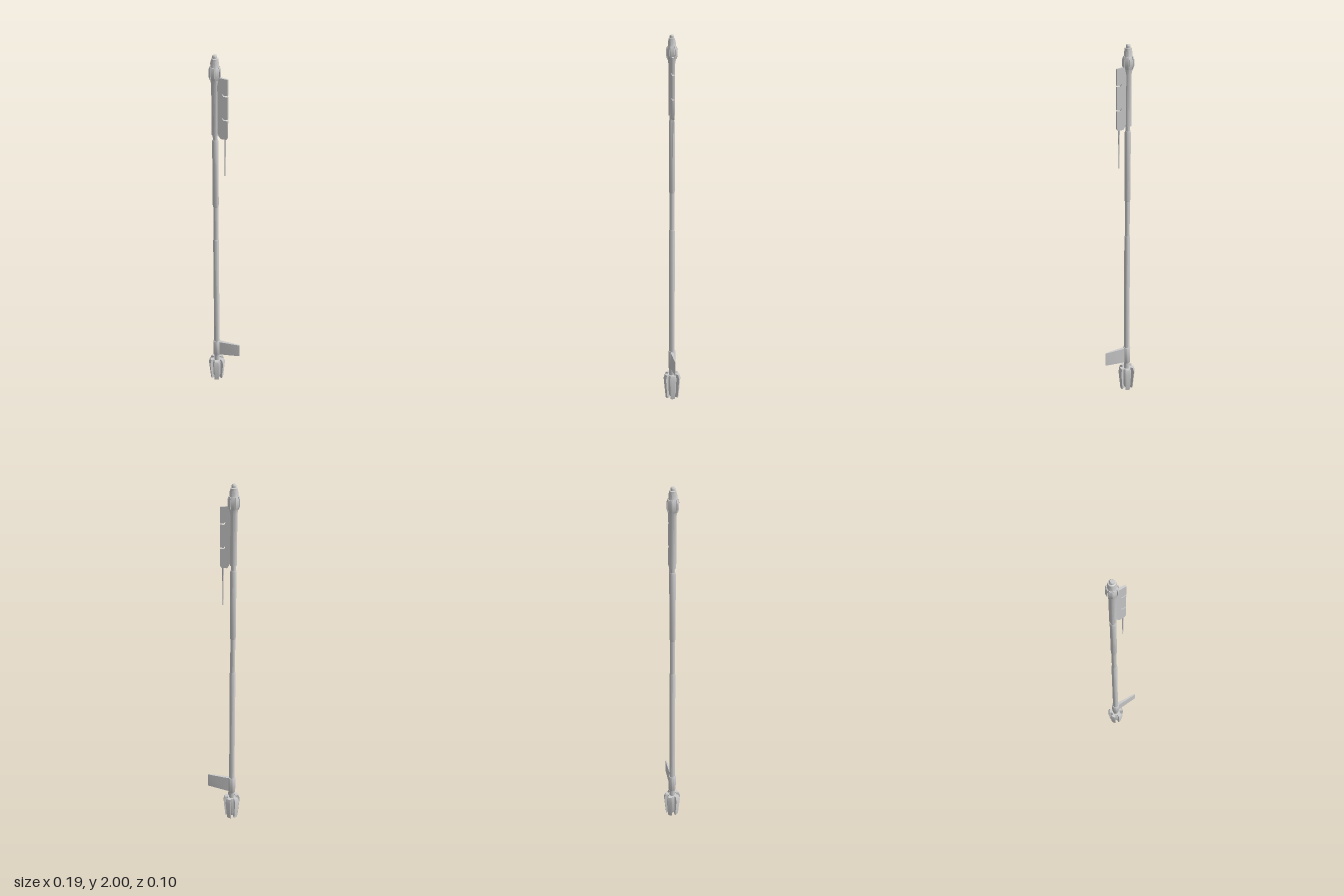
import * as THREE from 'three';
import { toCreasedNormals } from 'three/addons/utils/BufferGeometryUtils.js';

const AXIS_X = -0.048;

// Solid skinned over a row of convex rings, closed at both ends.
function loft(rings) {
  const pos = [];
  const tri = (a, b, c) => pos.push(...a, ...b, ...c);
  const n = rings[0].length;
  for (let k = 0; k + 1 < rings.length; k++) {
    for (let i = 0; i < n; i++) {
      const j = (i + 1) % n, a = rings[k], b = rings[k + 1];
      tri(a[i], a[j], b[j]);
      tri(a[i], b[j], b[i]);
    }
  }
  const first = rings[0], last = rings[rings.length - 1];
  for (let i = 1; i + 1 < n; i++) {
    tri(first[0], first[i + 1], first[i]);
    tri(last[0], last[i], last[i + 1]);
  }
  const g = new THREE.BufferGeometry();
  g.setAttribute('position', new THREE.Float32BufferAttribute(pos, 3));
  return g;
}

// Wedge of a round body: levels are [y, innerRadius, outerRadius].
function sector(levels, halfAngle) {
  const at = (r, t, y) => [r * Math.cos(t), y, -r * Math.sin(t)];
  return loft(levels.map(([y, ri, ro]) => {
    const ring = [];
    for (let i = 0; i <= 4; i++) ring.push(at(ro, halfAngle * (i / 2 - 1), y));
    ring.push(at(ri, halfAngle, y), at(ri, -halfAngle, y));
    return ring;
  }));
}

export function createModel() {
  const model = new THREE.Group();
  const material = new THREE.MeshStandardMaterial({ color: 0xcccccc });
  const add = (name, geometry, parent = model) => {
    const mesh = new THREE.Mesh(toCreasedNormals(geometry, 0.6), material);
    mesh.name = name;
    parent.add(mesh);
    return mesh;
  };
  const turned = (name, profile) => {
    const points = profile.map(([r, y]) => new THREE.Vector2(r, y));
    add(name, new THREE.LatheGeometry(points, 20)).position.x = AXIS_X;
  };
  const ringOf = (name, count, geometry) => {
    const group = new THREE.Group();
    group.name = name + 's';
    group.position.x = AXIS_X;
    for (let i = 0; i < count; i++) {
      add(name, geometry, group).rotation.y = (i * 2 * Math.PI) / count;
    }
    model.add(group);
  };

  // Stepped pole with a collar near the foot
  turned('footCore', [[0, 0.01], [0.02, 0.01], [0.026, 0.03], [0.029, 0.12], [0.024, 0.14], [0, 0.14]]);
  turned('neck', [[0, 0.13], [0.016, 0.13], [0.016, 0.185], [0, 0.185]]);
  turned('collar', [[0, 0.18], [0.019, 0.18], [0.021, 0.185], [0.021, 0.28], [0.019, 0.286], [0, 0.286]]);
  turned('lowerPole', [[0, 0.28], [0.0155, 0.28], [0.0155, 0.99], [0.0135, 1], [0, 1]]);
  turned('middlePole', [[0, 0.99], [0.013, 0.99], [0.013, 1.21], [0, 1.21]]);
  turned('upperPole', [[0, 1.2], [0.0135, 1.2], [0.0155, 1.21], [0.0155, 1.57], [0.0135, 1.58], [0, 1.58]]);
  turned('joint', [[0, 1.57], [0.012, 1.57], [0.012, 1.615], [0, 1.615]]);
  turned('sleeve', [[0, 1.605], [0.017, 1.605], [0.017, 1.86], [0.024, 1.9], [0, 1.9]]);

  // Head and stepped tip
  turned('head', [[0, 1.885], [0.022, 1.885], [0.025, 1.905], [0.025, 1.935], [0.02, 1.945],
    [0.02, 1.965], [0.017, 1.975], [0.017, 1.983], [0.011, 1.985], [0.011, 1.995], [0.008, 2], [0, 2]]);
  ringOf('headLug', 8, sector([[1.885, 0.018, 0.024], [1.9, 0.018, 0.029], [1.93, 0.018, 0.029], [1.945, 0.018, 0.024]], 0.29));

  // Five flared fins around the foot
  ringOf('footFin', 5, sector([[0, 0.02, 0.037], [0.12, 0.024, 0.048], [0.145, 0.024, 0.04]], 0.35));

  // Swept blade on the collar, thinning outwards
  const slice = (x, lo, hi, t) => [[x, lo, -t], [x, hi, -t], [x, hi, t], [x, lo, t]];
  add('lowerBlade', loft([slice(-0.036, 0.185, 0.282, 0.009), slice(0.086, 0.205, 0.289, 0.003), slice(0.093, 0.207, 0.289, 0.001)]));

  // Tall blade beside the sleeve, with narrow slits in its outer edge
  const outline = [[-0.036, 1.625], [-0.028, 1.605], [-0.018, 1.59], [0.011, 1.59], [0.017, 1.6]];
  for (const y of [1.69, 1.81]) {
    outline.push([0.017, y - 0.003], [-0.004, y - 0.003], [-0.01, y + 0.008], [-0.006, y + 0.01], [-0.002, y + 0.003], [0.017, y + 0.003]);
  }
  outline.push([0.017, 1.892], [-0.03, 1.897], [-0.036, 1.88]);
  const blade = new THREE.ExtrudeGeometry(new THREE.Shape(outline.map(([x, y]) => new THREE.Vector2(x, y))), { depth: 2, bevelEnabled: false });
  const p = blade.attributes.position;
  for (let i = 0; i < p.count; i++) {
    const half = 0.0045 + 0.0035 * (0.017 - p.getX(i)) / 0.053;
    p.setZ(i, (p.getZ(i) - 1) * half);
  }
  add('upperBlade', blade);

  // Thin spike hanging from the tall blade
  const spike = add('spike', new THREE.CylinderGeometry(0.0045, 0.002, 0.21, 8));
  spike.position.set(0.003, 1.495, 0);

  return model;
}
